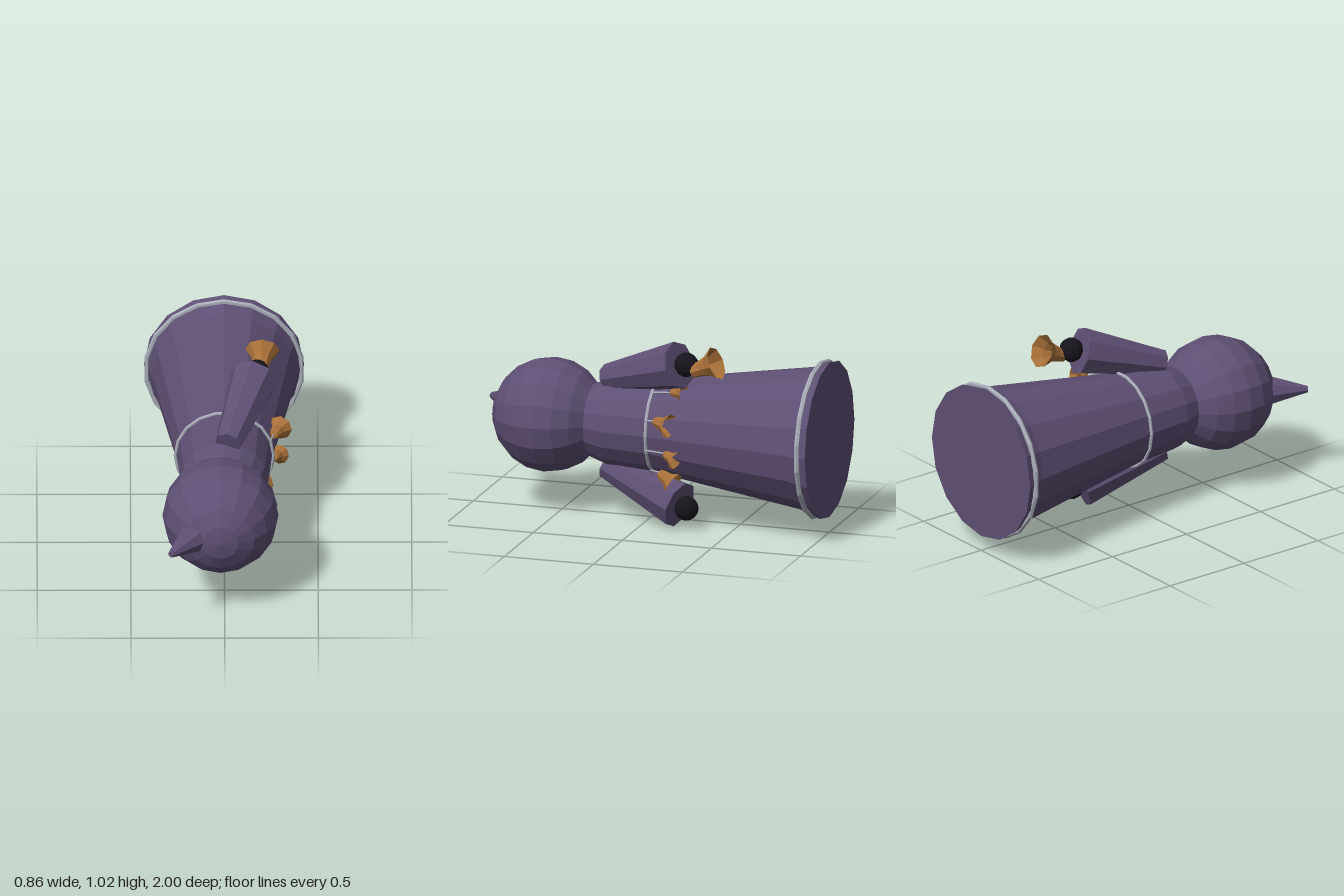
import * as THREE from 'three';

const mat = (color, side = THREE.FrontSide) =>
  new THREE.MeshStandardMaterial({ color, flatShading: true, side });
const V = (x, y, z) => new THREE.Vector3(x, y, z);
const CY = 0.515; // height of the body's axis

export function createModel() {
  const group = new THREE.Group();
  const cloth = mat(0x5e4f74);
  const bronze = mat(0xa87038, THREE.DoubleSide);
  const silver = mat(0xa8acb8);
  const black = mat(0x17141c);

  const add = (name, geometry, material, position) => {
    const mesh = new THREE.Mesh(geometry, material);
    mesh.name = name;
    mesh.position.copy(position);
    group.add(mesh);
    return mesh;
  };
  // Turned shape whose profile [radius, distance] runs along +z
  const turned = (profile, sides) =>
    new THREE.LatheGeometry(profile.map(([r, d]) => new THREE.Vector2(r, d)), sides).rotateX(Math.PI / 2);
  // Tapered rod from a to b
  const rod = (name, a, b, ra, rb, sides, material) => {
    const len = a.distanceTo(b);
    const mesh = add(name, turned([[0, 0], [ra, 0], [rb, len], [0, len]], sides), material, a);
    mesh.lookAt(b);
    return mesh;
  };
  const bell = (name, top, dir, scale, profile) => {
    const mesh = add(name, turned(profile, 8), bronze, top);
    mesh.lookAt(top.clone().add(dir));
    mesh.scale.setScalar(scale);
    return mesh;
  };

  // Robe, lying along z with its hem at the back
  add('robe', turned([[0, -1], [0.428, -1], [0.385, -0.88], [0.255, -0.05],
    [0.235, 0.22], [0.2, 0.32], [0, 0.34]], 16), cloth, V(0, CY, 0));

  // Head and beak
  add('head', new THREE.SphereGeometry(0.31, 16, 10).rotateX(Math.PI / 2), cloth, V(-0.022, CY, 0.575));
  rod('beak', V(-0.14, CY, 0.77), V(-0.287, CY, 0.987), 0.1, 0.018, 8, cloth);

  // Hem ring and necklace
  add('hemRing', new THREE.TorusGeometry(0.418, 0.014, 6, 18).rotateZ(Math.PI / 2), silver, V(0, CY, -0.95));
  add('necklace', new THREE.TorusGeometry(0.262, 0.009, 6, 18), silver, V(0, CY, -0.05));

  // Sleeves and hands, mirrored above and below the body axis
  for (const [s, label] of [[1, 'upper'], [-1, 'lower']]) {
    rod(label + 'Sleeve', V(0.02, CY + s * 0.245, 0.24), V(0.16, CY + s * 0.387, -0.21), 0.072, 0.13, 8, cloth);
    add(label + 'Hand', new THREE.SphereGeometry(0.066, 10, 8), black, V(0.175, CY + s * 0.398, -0.253));
  }

  // Hand bell
  bell('handBell', V(0.195, 0.885, -0.295), V(0.06, 0.39, -0.92), 1,
    [[0, 0], [0.036, 0], [0.042, 0.05], [0.056, 0.095], [0.092, 0.148]]);

  // Small bells hanging from the necklace
  const profile = [[0, 0], [0.024, 0.004], [0.034, 0.03], [0.04, 0.065], [0.07, 0.11]];
  const bells = [[0.155, 0.745, -0.16, 0.75], [0.262, 0.61, -0.1, 0.95],
    [0.268, 0.437, -0.16, 0.75], [0.175, 0.302, -0.1, 0.95]];
  for (const [x, y, z, scale] of bells) {
    const out = V(x, y - CY, 0).normalize();
    bell('necklaceBell', V(x, y, z), V(out.x * 0.35, out.y * 0.35 - 0.22, -0.88), scale, profile);
    const ring = out.multiplyScalar(0.265);
    rod('bellString', V(ring.x, CY + ring.y, -0.05), V(x, y, z - 0.01), 0.005, 0.005, 5, silver);
  }
  return group;
}
